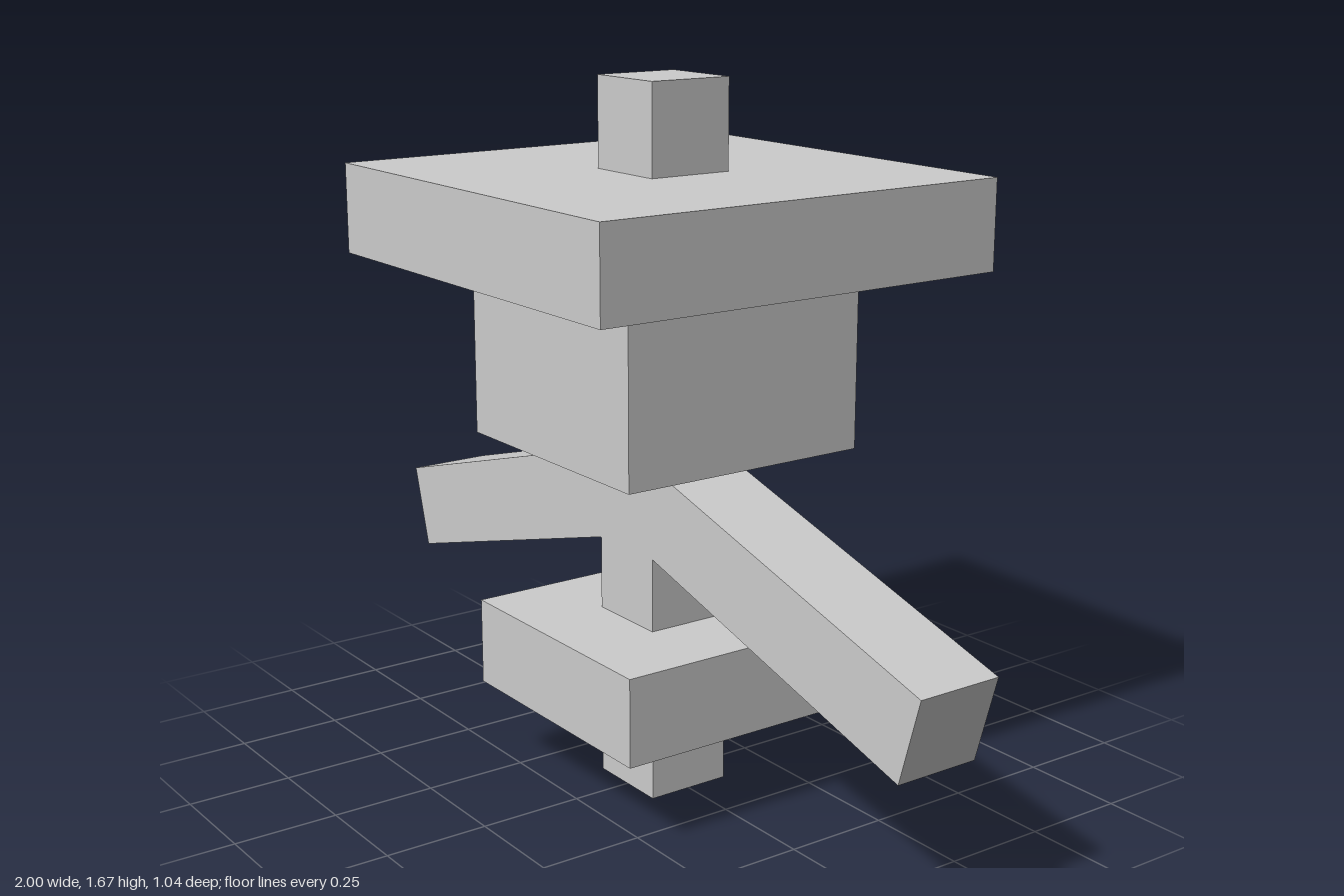
import * as THREE from 'three';

const U = 0.2083; // block unit
const ARM_TILT = THREE.MathUtils.degToRad(16);
const ARM_LENGTH = 1.012;

export function createModel() {
  const model = new THREE.Group();
  model.name = 'blockFigure';
  const material = new THREE.MeshStandardMaterial({ color: 0xcccccc, flatShading: true });

  // Square block, sized and placed in block units
  const addBlock = (name, width, bottom, top) => {
    const geometry = new THREE.BoxGeometry(width * U, (top - bottom) * U, width * U);
    const mesh = new THREE.Mesh(geometry, material);
    mesh.name = name;
    mesh.position.y = ((bottom + top) / 2) * U;
    model.add(mesh);
  };

  addBlock('foot', 1, 0, 1);
  addBlock('base', 3, 1, 2);
  addBlock('post', 1, 2, 4);
  addBlock('head', 3, 4, 6);
  addBlock('hatBrim', 5, 6, 7);
  addBlock('hatTop', 1, 7, 8);

  // Drooping arms, starting at the middle of the post
  for (const side of [1, -1]) {
    const geometry = new THREE.BoxGeometry(ARM_LENGTH, U, U);
    geometry.translate((side * ARM_LENGTH) / 2, 0, 0);
    const arm = new THREE.Mesh(geometry, material);
    arm.name = side > 0 ? 'leftArm' : 'rightArm';
    arm.position.y = 3.5 * U;
    arm.rotation.z = -side * ARM_TILT;
    model.add(arm);
  }

  return model;
}
